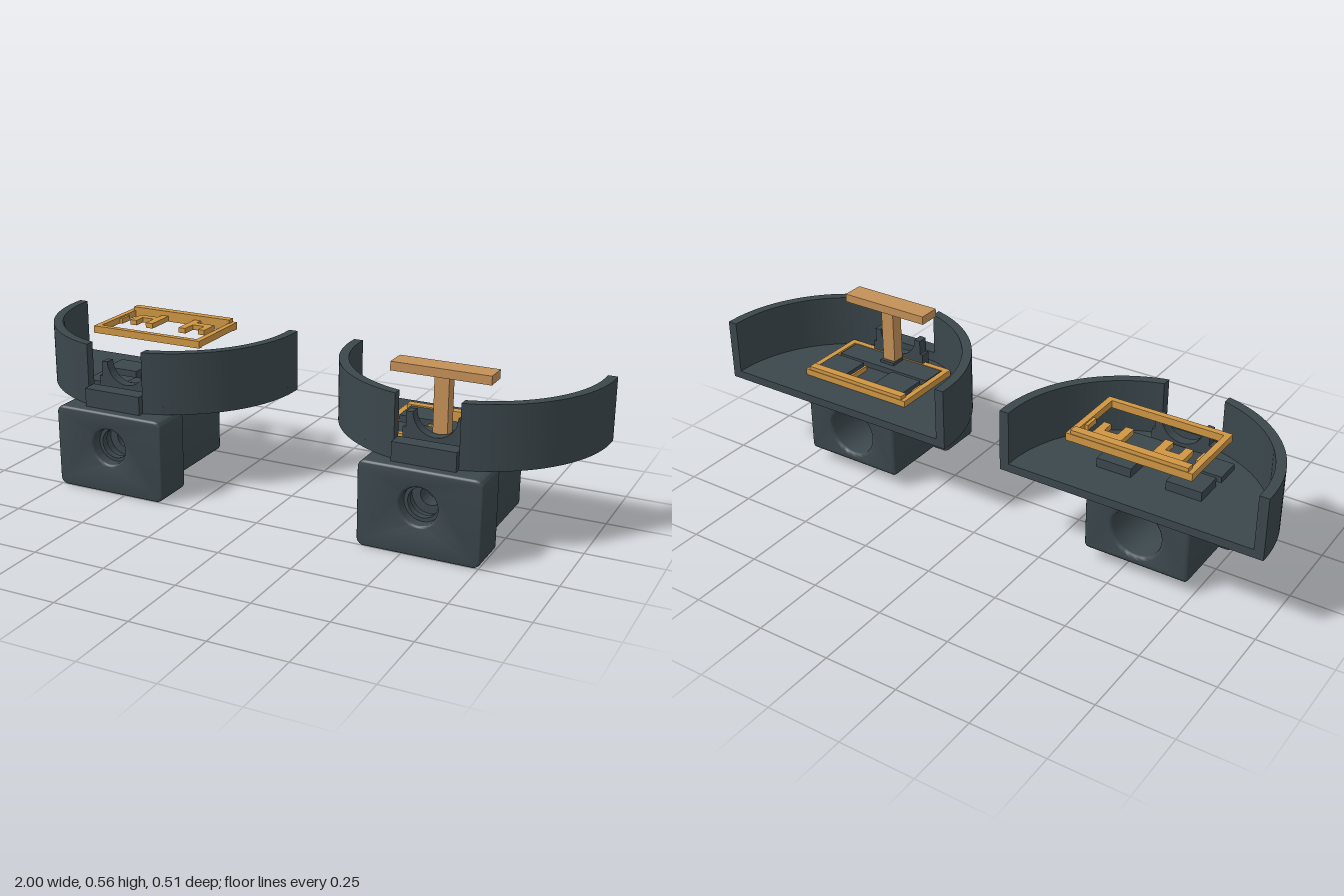
import * as THREE from 'three';
import { toCreasedNormals } from 'three/addons/utils/BufferGeometryUtils.js';

const mat = (name, color) => Object.assign(new THREE.MeshStandardMaterial({ color }), { name });

export function createModel() {
  const dark = mat('dark slate', 0x3b474c);
  const gold = mat('golden frame', 0xcf9643);
  const tan = mat('tan handle', 0xc39058);

  function add(parent, name, geometry, material) {
    const mesh = new THREE.Mesh(geometry, material);
    mesh.name = name;
    parent.add(mesh);
    return mesh;
  }
  // Box given by its min and max on each axis
  function box(parent, name, material, x0, x1, y0, y1, z0, z1) {
    const g = new THREE.BoxGeometry(x1 - x0, y1 - y0, z1 - z0);
    g.translate((x0 + x1) / 2, (y0 + y1) / 2, (z0 + z1) / 2);
    return add(parent, name, g, material);
  }
  // Outline in plan (x, z) raised from y0 to y1
  function plan(points, y0, y1) {
    const shape = new THREE.Shape(points.map(([x, z]) => new THREE.Vector2(x, -z)));
    const g = new THREE.ExtrudeGeometry(shape, { depth: y1 - y0, bevelEnabled: false });
    g.rotateX(-Math.PI / 2).translate(0, y0, 0);
    return toCreasedNormals(g, 0.5);
  }
  // Shape in x, y pushed from z0 to z1, with optional softened edges
  function push(shape, z0, z1, bevel = 0) {
    const g = new THREE.ExtrudeGeometry(shape, {
      depth: z1 - z0 - 2 * bevel, bevelEnabled: bevel > 0, bevelSize: bevel,
      bevelThickness: bevel, bevelOffset: -bevel, bevelSegments: 3, curveSegments: 20,
    });
    g.translate(0, 0, z0 + bevel);
    return toCreasedNormals(g, 0.6);
  }
  function roundedRect(w, y0, y1, r) {
    const s = new THREE.Shape();
    s.moveTo(-w + r, y0).lineTo(w - r, y0).absarc(w - r, y0 + r, r, -Math.PI / 2, 0);
    s.absarc(w - r, y1 - r, r, 0, Math.PI / 2).absarc(-w + r, y1 - r, r, Math.PI / 2, Math.PI);
    s.absarc(-w + r, y0 + r, r, Math.PI, Math.PI * 1.5);
    return s;
  }
  const HOLE_Y = 0.167;
  function drill(shape, r) {
    shape.holes.push(new THREE.Path().absarc(0, HOLE_Y, r, 0, Math.PI * 2, true));
    return shape;
  }
  const washer = (r, hole) => drill(new THREE.Shape().absarc(0, HOLE_Y, r, 0, Math.PI * 2), hole);

  // Points on an arc about the tray centre, angle 0 = +x, 90 degrees = front
  const ZC = -0.232, BACK = -0.253, R = 0.447, RI = 0.415;
  function arc(r, a, b, n = 32) {
    return Array.from({ length: n + 1 }, (_, i) => {
      const t = a + (b - a) * i / n;
      return [r * Math.cos(t), ZC + r * Math.sin(t)];
    });
  }

  function makeHolder() {
    const holder = new THREE.Group();
    holder.name = 'trayHolder';

    // Half-round tray floor
    add(holder, 'trayFloor', plan([[R, BACK], ...arc(R, 0, Math.PI, 56), [-R, BACK]], 0.287, 0.315), dark);

    // Curved walls either side of the front notch
    const N = 0.105, outer = Math.acos(N / R), inner = Math.acos(N / RI);
    const wall = [[R, BACK], ...arc(R, 0, outer), ...arc(RI, inner, 0), [RI, BACK]];
    for (const side of [1, -1]) {
      add(holder, 'trayWall', plan(wall.map(([x, z]) => [side * x, z]), 0.287, 0.497), dark);
    }

    // Low sill and cradle filling the notch
    box(holder, 'notchSill', dark, -N, N, 0.287, 0.35, 0.17, 0.224);
    const cradle = new THREE.Shape();
    cradle.moveTo(-N, 0.3).lineTo(N, 0.3).lineTo(N, 0.37).lineTo(0.095, 0.37);
    cradle.lineTo(0.095, 0.42).lineTo(0.073, 0.42);
    cradle.absarc(0, 0.422, 0.073, 0, Math.PI, true);
    cradle.lineTo(-0.095, 0.42).lineTo(-0.095, 0.37).lineTo(-N, 0.37);
    add(holder, 'cradle', push(cradle, 0.1, 0.135), dark);

    // Raised details on the floor
    box(holder, 'floorStep', dark, -0.185, 0.185, 0.31, 0.335, 0.01, 0.1);
    box(holder, 'floorPeg', dark, -0.028, 0.028, 0.33, 0.345, 0.035, 0.088);
    for (const x of [-0.12, 0.12]) {
      box(holder, 'floorPad', dark, x - 0.06, x + 0.06, 0.31, 0.346, -0.115, -0.017);
    }

    // Socket below the tray: front plate, rear body and stepped bore
    add(holder, 'socketFront', push(drill(roundedRect(0.202, 0.003, 0.286, 0.025), 0.062), 0.107, 0.255, 0.008), dark);
    add(holder, 'socketBody', push(drill(roundedRect(0.182, 0.048, 0.295, 0.015), 0.085), -0.177, 0.112, 0.012), dark);
    add(holder, 'boreStep', push(washer(0.064, 0.05), 0.19, 0.215), dark);
    add(holder, 'boreCollar', push(washer(0.09, 0.034), 0.09, 0.15), dark);
    return holder;
  }

  // Open rectangular frame with two inward hooks; origin at its back, on its base
  function makeFrame() {
    const f = new THREE.Group();
    f.name = 'clipFrame';
    const W = 0.21, D = 0.262, H = 0.025, T = 0.02;
    box(f, 'backBar', gold, -W, W, 0, H, 0, 0.027);
    box(f, 'backLip', gold, -0.195, 0.195, H, 0.038, 0.002, 0.03);
    box(f, 'frontBar', gold, -W, W, 0, H, D - T, D);
    for (const s of [1, -1]) {
      const bar = (name, a, b, z0, z1, top) =>
        box(f, name, gold, Math.min(s * a, s * b), Math.max(s * a, s * b), 0.002, top, z0, z1);
      bar('sideBar', W - T, W, 0.027, D - T, H);
      bar('hookStem', 0.053, 0.08, 0.02, 0.135, 0.02);
      bar('hookArm', 0.08, 0.15, 0.055, 0.083, 0.02);
      bar('hookTip', 0.125, 0.15, 0.083, 0.125, 0.02);
      bar('sideTab', 0.18, 0.192, 0.08, 0.13, 0.02);
    }
    return f;
  }

  const model = new THREE.Group();
  model.name = 'holderPair';
  const X = 0.553;
  for (const side of [-1, 1]) {
    const holder = makeHolder();
    const frame = makeFrame();
    // One frame rests at rim height, the other on the floor
    if (side < 0) frame.position.set(0, 0.472, -0.255);
    else frame.position.set(0, 0.312, -0.146);
    holder.add(frame);
    holder.position.x = side * X;
    model.add(holder);

    // Upright handle with a crossbar
    if (side > 0) {
      const handle = new THREE.Group();
      handle.name = 'handle';
      box(handle, 'handlePost', tan, -0.024, 0.024, 0.34, 0.532, 0.048, 0.092);
      box(handle, 'handleBar', tan, -0.163, 0.163, 0.532, 0.561, 0.032, 0.107);
      holder.add(handle);
    }
  }
  return model;
}
